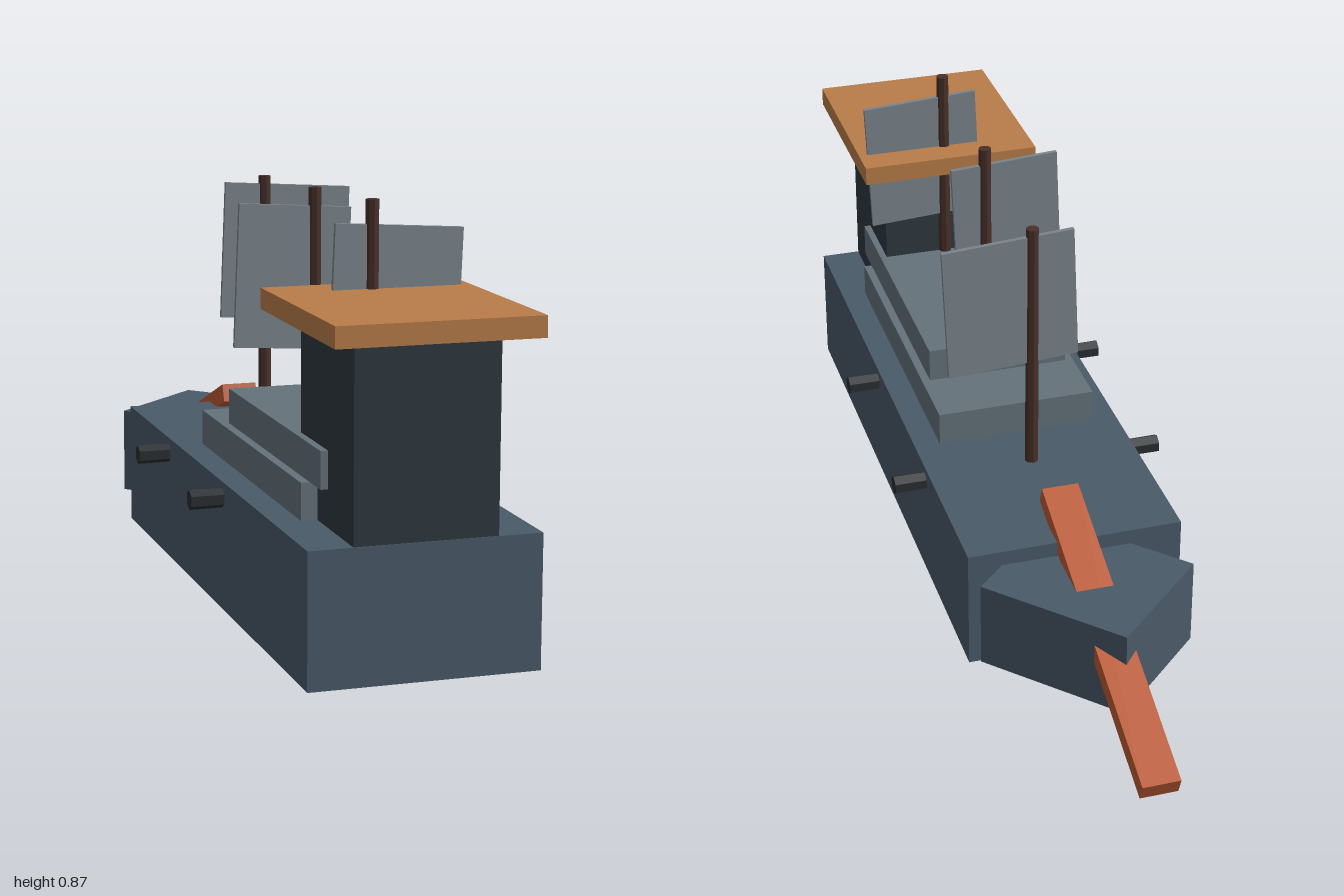
import * as THREE from 'three';

const mat = (color) => new THREE.MeshStandardMaterial({ color, flatShading: true });

export function createModel() {
  const ship = new THREE.Group();
  ship.name = 'ship';

  const steel = mat(0x4a5a68), dark = mat(0x2e3840), deckGrey = mat(0x65727b);
  const tan = mat(0xb97d49), wood = mat(0x47302a), cloth = mat(0x7b868d);
  const iron = mat(0x2a2e32), orange = mat(0xbb5a34);

  const add = (name, geometry, material, x = 0, y = 0, z = 0) => {
    const mesh = new THREE.Mesh(geometry, material);
    mesh.name = name;
    mesh.position.set(x, y, z);
    ship.add(mesh);
    return mesh;
  };
  // Box centred on x, given its width and its y and z ranges
  const block = (name, w, y0, y1, z0, z1, material) =>
    add(name, new THREE.BoxGeometry(w, y1 - y0, z1 - z0), material, 0, (y0 + y1) / 2, (z0 + z1) / 2);

  // Hull, stepped decks, stern tower and its roof
  block('hull', 0.466, 0, 0.27, -0.437, 0.932, steel);
  block('lowerDeck', 0.354, 0.27, 0.345, 0, 0.715, deckGrey);
  block('upperDeck', 0.318, 0.345, 0.42, 0.15, 0.78, deckGrey);
  block('tower', 0.288, 0.27, 0.655, 0.61, 0.93, dark);
  block('towerRoof', 0.408, 0.655, 0.697, 0.537, 1, tan);

  // Diamond-shaped bow, and the sloping ram that passes through it
  const bow = add('bow', new THREE.BoxGeometry(0.341, 0.192, 0.293), steel, 0, 0.141, -0.521);
  bow.rotation.y = -0.815;
  const ram = add('ram', new THREE.BoxGeometry(0.08, 0.041, 0.725), orange, 0, 0.182, -0.655);
  ram.rotation.x = -0.371;

  // Masts, each with a slightly skewed sail set to one side
  const rigs = [
    { z: 0.61, top: 0.872, base: 0.42, sailX: 0.05, sailW: 0.264 },
    { z: 0.248, top: 0.855, base: 0.42, sailX: -0.049, sailW: 0.242 },
    { z: -0.116, top: 0.84, base: 0.27, sailX: 0.0475, sailW: 0.287 },
  ];
  const skew = new THREE.Matrix4().set(
    1, 0.04, 0, 0,
    -0.063, 1, 0, 0,
    0, 0, 1, 0,
    0, 0, 0, 1);
  for (const { z, top, base, sailX, sailW } of rigs) {
    const height = top - base;
    add('mast', new THREE.CylinderGeometry(0.014, 0.015, height, 8), wood, 0, base + height / 2, z);
    add('sail', new THREE.BoxGeometry(sailW, 0.3, 0.01).applyMatrix4(skew), cloth, sailX, 0.669, z);
  }

  // Cannons along both sides
  for (const side of [-1, 1]) {
    for (const z of [0.357, -0.08]) {
      const barrel = new THREE.CylinderGeometry(0.021, 0.02, 0.12, 6).rotateY(Math.PI / 6);
      const cannon = add('cannon', barrel, iron, side * 0.243, 0.236, z);
      cannon.rotation.z = -side * Math.PI / 2;
      // Hexagon points face up and down
      barrel.rotateY(Math.PI / 3);
    }
  }
  return ship;
}
